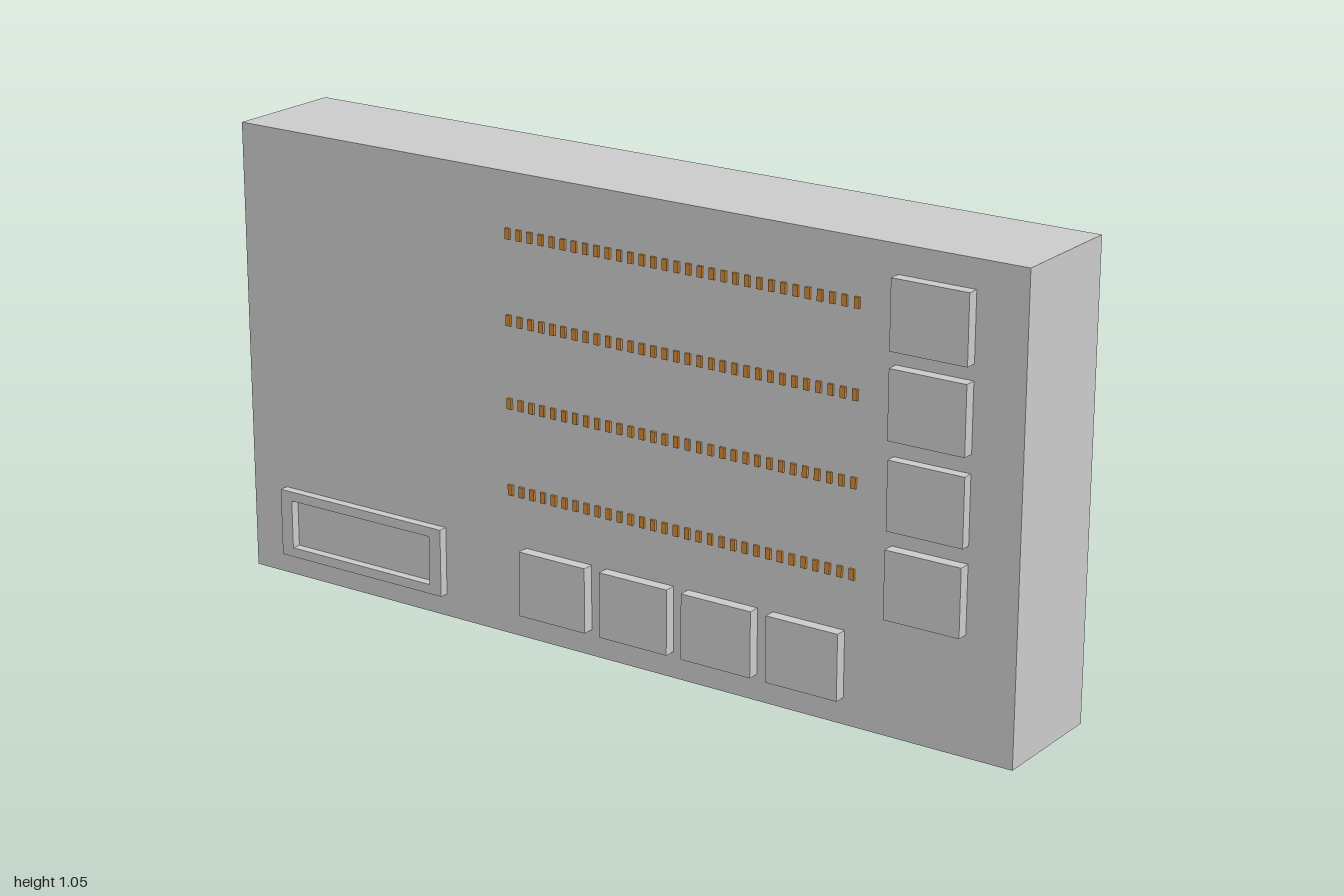
import * as THREE from 'three';

const FACE = 0.13; // z of the housing's front face

export function createModel() {
  const model = new THREE.Group();
  const grey = new THREE.MeshStandardMaterial({ color: 0xcccccc });
  const orange = new THREE.MeshStandardMaterial({ color: 0xd08a3a });

  // Box given by its limits on each axis
  function box(name, x0, x1, y0, y1, z0, z1, material = grey, parent = model) {
    const mesh = new THREE.Mesh(new THREE.BoxGeometry(x1 - x0, y1 - y0, z1 - z0), material);
    mesh.position.set((x0 + x1) / 2, (y0 + y1) / 2, (z0 + z1) / 2);
    mesh.name = name;
    parent.add(mesh);
  }

  // Main housing
  box('housing', -1, 1, 0, 1.053, -0.157, FACE);

  // Row of buttons along the bottom
  [-0.22, -0.005, 0.208, 0.422].forEach((x, i) =>
    box(`bottomButton${i + 1}`, x, x + 0.176, 0.06, 0.21, FACE, 0.157));

  // Column of buttons on the left side of the panel
  [0.838, 0.651, 0.458, 0.267].forEach((y, i) =>
    box(`sideButton${i + 1}`, 0.705, 0.883, y, y + 0.152, FACE, i === 2 ? 0.154 : 0.157));

  // Rows of small indicator pins
  const pins = 31, first = -0.258, last = 0.614;
  [0.917, 0.724, 0.536, 0.338].forEach((y, r) => {
    const row = new THREE.Group();
    row.name = `indicatorRow${r + 1}`;
    for (let i = 0; i < pins; i++) {
      const x = first + (last - first) * i / (pins - 1);
      box('indicator', x - 0.006, x + 0.006, y - 0.012, y + 0.012, FACE, 0.136, orange, row);
    }
    model.add(row);
  });

  // Raised frame around the display window
  const rect = (path, x0, x1, y0, y1) =>
    path.moveTo(x0, y0).lineTo(x1, y0).lineTo(x1, y1).lineTo(x0, y1).closePath();
  const outline = new THREE.Shape();
  rect(outline, -0.905, -0.443, 0.052, 0.21);
  const hole = new THREE.Path();
  rect(hole, -0.873, -0.475, 0.074, 0.188);
  outline.holes.push(hole);
  const frame = new THREE.Mesh(
    new THREE.ExtrudeGeometry(outline, { depth: 0.021, bevelEnabled: false }), grey);
  frame.position.z = FACE;
  frame.name = 'displayFrame';
  model.add(frame);

  return model;
}
